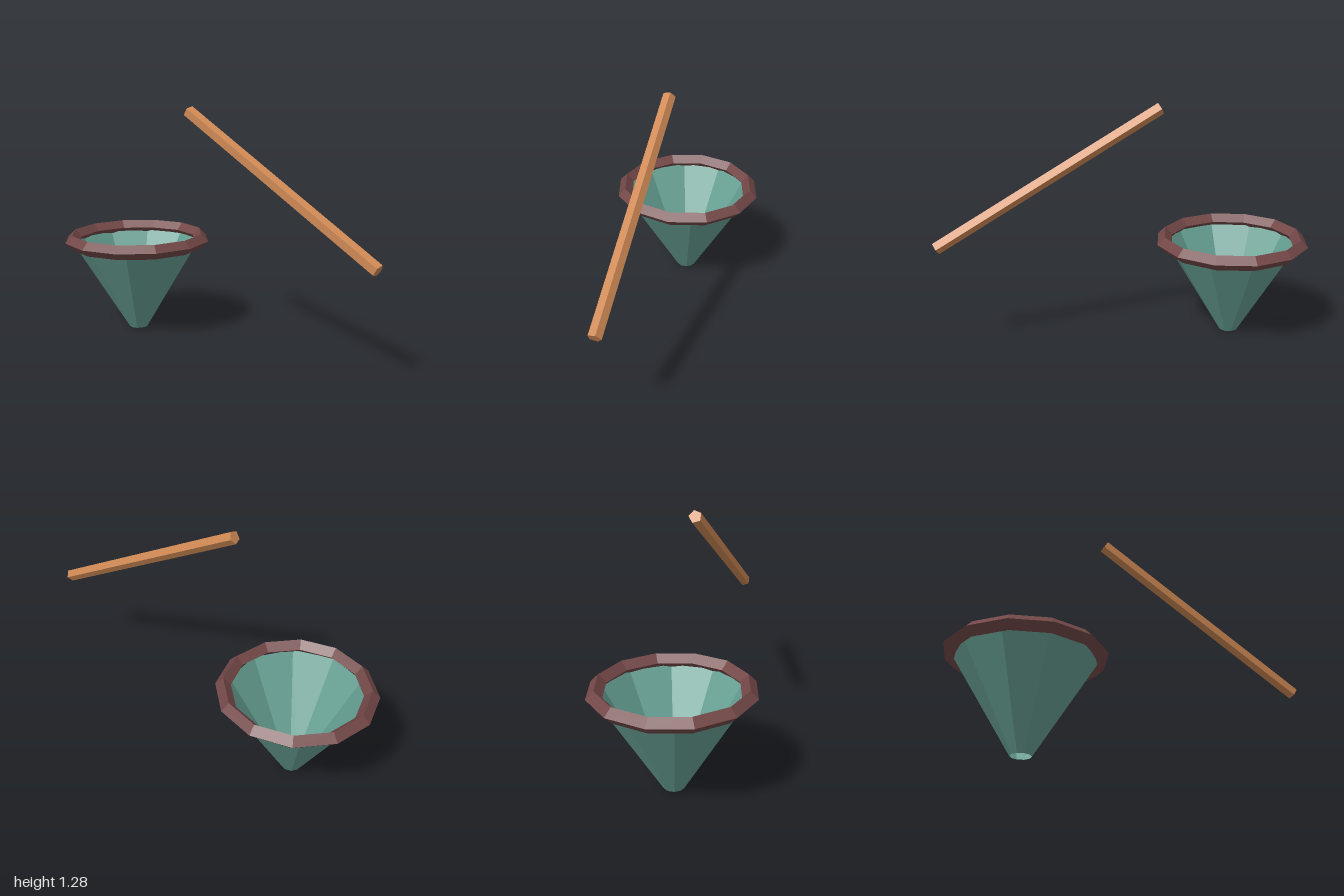
import * as THREE from 'three';

export function createModel() {
  const model = new THREE.Group();
  model.name = 'funnelAndStick';

  const flat = (name, color, extra = {}) =>
    Object.assign(new THREE.MeshStandardMaterial({ color, flatShading: true, ...extra }), { name });
  const green = flat('funnelGreen', 0x669f92, { side: THREE.DoubleSide });
  const brown = flat('rimBrown', 0x734747);
  const wood = flat('stickWood', 0xce8854);

  const add = (name, geometry, material, y, z, tilt) => {
    const mesh = new THREE.Mesh(geometry, material);
    mesh.name = name;
    mesh.position.set(0, y, z);
    mesh.rotation.x = tilt;
    model.add(mesh);
  };

  const centreZ = -0.587;

  // Open ten-sided funnel with a small hole at the bottom
  const height = 0.497;
  add('funnel', new THREE.CylinderGeometry(0.357, 0.053, height, 10, 1, true, Math.PI / 2),
    green, height / 2, centreZ, 0);

  // Twelve-sided rim with a diamond section
  add('rim', new THREE.TorusGeometry(0.373, 0.04, 4, 12), brown, 0.517, centreZ, Math.PI / 2);

  // Slanted five-sided stick
  add('stick', new THREE.CylinderGeometry(0.034, 0.034, 1.345, 5, 1, false, Math.PI / 2),
    wood, 0.92, 0.401, -Math.PI / 3);

  return model;
}
